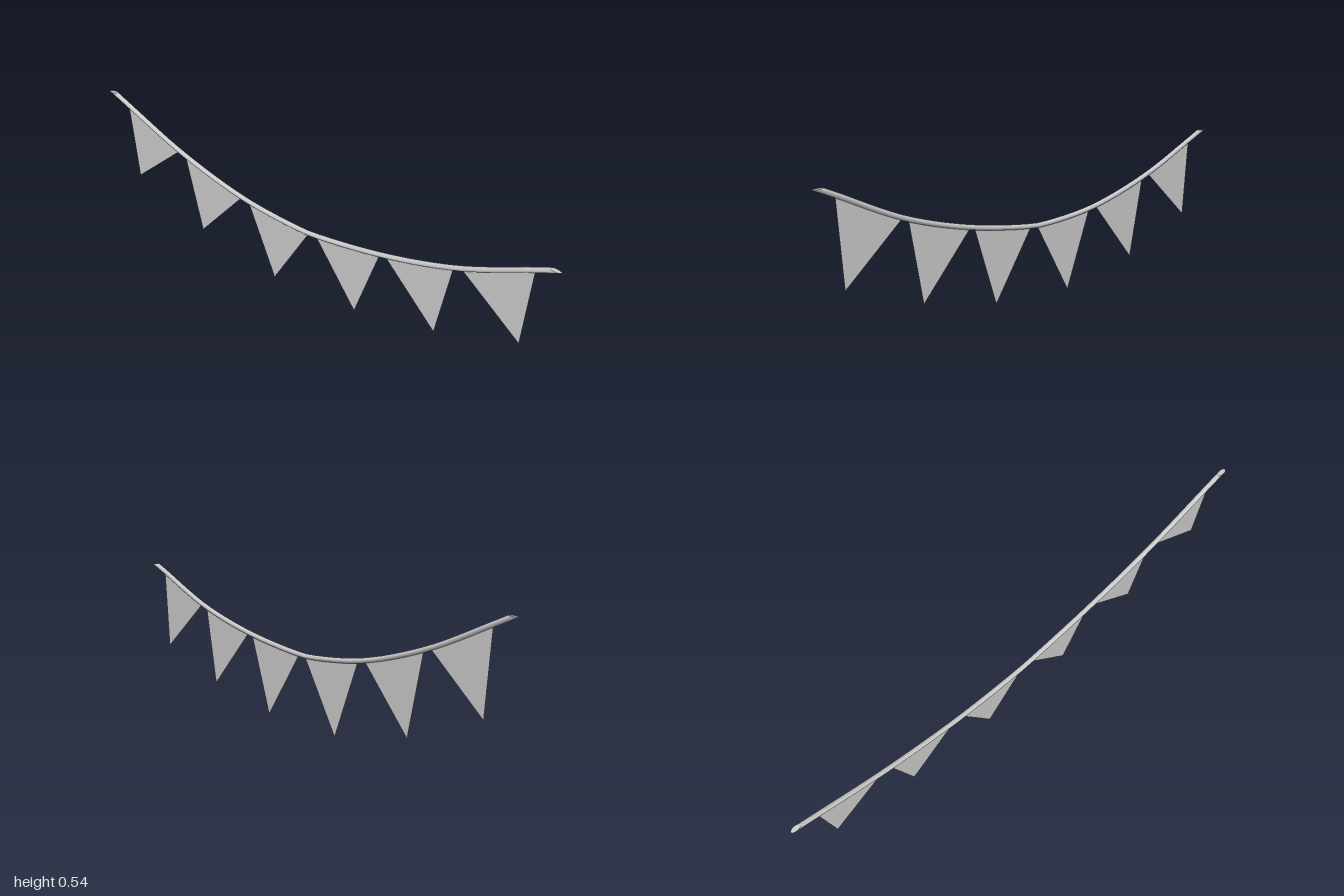
import * as THREE from 'three';

const material = new THREE.MeshStandardMaterial({ color: 0xcccccc, side: THREE.DoubleSide });
const RADIUS = 0.0095, SEGMENTS = 40, SIDES = 12;

// The hanging cord leans very slightly sideways as it rises
const leanX = (y) => -0.005 + (y - 0.273) * 0.031;

const cordPath = new THREE.CatmullRomCurve3([
  [0.98, 0.542], [0.914, 0.515], [0.636, 0.398], [0.335, 0.319], [0.025, 0.275],
  [-0.04, 0.274], [-0.3, 0.298], [-0.618, 0.381], [-0.898, 0.493], [-0.98, 0.527],
].map(([z, y]) => new THREE.Vector3(leanX(y), y, z)));

// Shear an end ring so the cord is cut on a slant, its underside reaching furthest
function slantEnd(tube, ring, t, outward) {
  const centre = cordPath.getPointAt(t);
  const along = cordPath.getTangentAt(t).multiplyScalar(outward);
  const up = new THREE.Vector3(0, 1, 0).addScaledVector(along, -along.y).normalize();
  const position = tube.attributes.position;
  const rim = [];
  for (let i = 0; i <= SIDES; i++) {
    const index = ring * (SIDES + 1) + i;
    const v = new THREE.Vector3().fromBufferAttribute(position, index);
    v.addScaledVector(along, -2 * v.clone().sub(centre).dot(up));
    position.setXYZ(index, v.x, v.y, v.z);
    rim.push(v);
  }
  // Flat cap as a fan around the centre
  const fan = [];
  for (let i = 0; i < SIDES; i++) {
    fan.push(centre, ...(outward > 0 ? [rim[i], rim[i + 1]] : [rim[i + 1], rim[i]]));
  }
  const cap = new THREE.BufferGeometry().setFromPoints(fan);
  cap.computeVertexNormals();
  return cap;
}

// Flat triangular flag from [z, y] corners: two on the cord and the tip
function makeFlag(corners) {
  const x = leanX((corners[0][1] + corners[1][1]) / 2);
  const geometry = new THREE.BufferGeometry().setFromPoints(
    corners.map(([z, y]) => new THREE.Vector3(x, y, z)));
  geometry.computeVertexNormals();
  return geometry;
}

export function createModel() {
  const model = new THREE.Group();
  model.name = 'pennantGarland';
  const add = (name, geometry) => {
    const mesh = new THREE.Mesh(geometry, material);
    mesh.name = name;
    model.add(mesh);
  };

  // Cord with slanted ends
  const tube = new THREE.TubeGeometry(cordPath, SEGMENTS, RADIUS, SIDES, false);
  add('cordEndFront', slantEnd(tube, 0, 0, -1));
  add('cordEndBack', slantEnd(tube, SEGMENTS, 1, 1));
  add('cord', tube);

  // Flags, from front to back
  [
    [[0.914, 0.508], [0.652, 0.396], [0.888, 0.203]],
    [[0.62, 0.39], [0.346, 0.315], [0.561, 0.091]],
    [[0.321, 0.31], [0.043, 0.268], [0.219, 0.02]],
    [[0.005, 0.268], [-0.28, 0.289], [-0.16, 0]],
    [[-0.32, 0.294], [-0.6, 0.37], [-0.529, 0.064]],
    [[-0.636, 0.381], [-0.898, 0.487], [-0.868, 0.186]],
  ].forEach((corners, i) => add(`flag${i + 1}`, makeFlag(corners)));

  return model;
}
